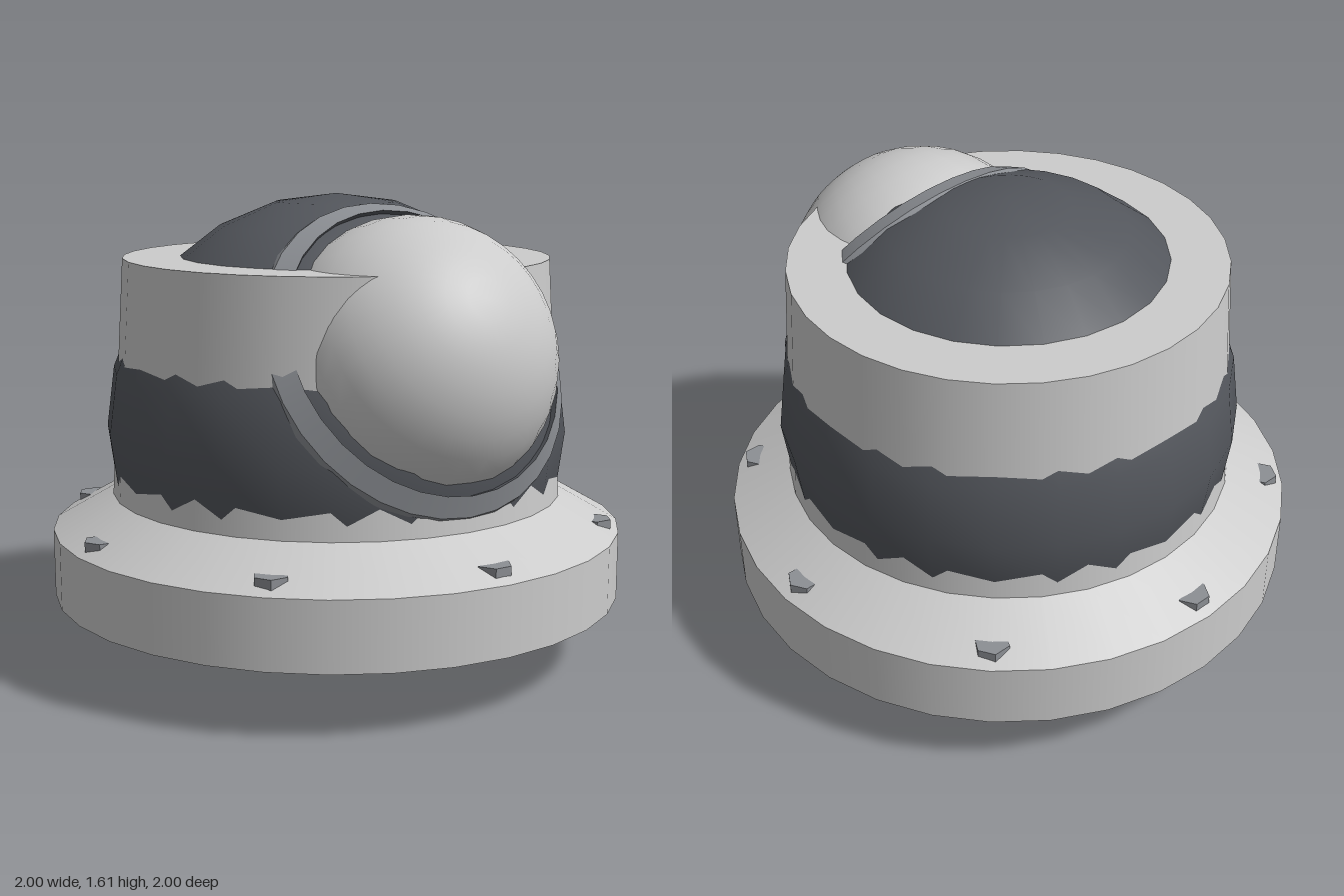
import * as THREE from 'three';

const grey = new THREE.MeshStandardMaterial({ color: 0xcccccc, side: THREE.DoubleSide });
const dark = new THREE.MeshStandardMaterial({ color: 0x53565c });
const mid = new THREE.MeshStandardMaterial({ color: 0x8c8f94, side: THREE.DoubleSide });

const CENTRE_Y = 0.807;
const TILT = THREE.MathUtils.degToRad(59); // lens axis, from straight up towards the front

function add(parent, name, geometry, material) {
  const mesh = new THREE.Mesh(geometry, material);
  mesh.name = name;
  parent.add(mesh);
  return mesh;
}

// One revolved band per profile segment keeps the edges between bands sharp
function revolve(parent, name, profile, material, sides) {
  const group = new THREE.Group();
  group.name = name;
  for (let i = 0; i < profile.length - 1; i++) {
    const points = [profile[i], profile[i + 1]].map(([r, y]) => new THREE.Vector2(r, y));
    add(group, name + 'Band', new THREE.LatheGeometry(points, sides), material);
  }
  parent.add(group);
  return group;
}

export function createModel() {
  const model = new THREE.Group();
  model.name = 'cameraTurret';

  // Thin housing, open underneath: rim, sloped flange, tapered wall, flat top
  revolve(model, 'housing', [
    [1, 0.225], [1, 0.46], [0.79, 0.58], [0.74, 1.4], [0.4, 1.4],
  ], grey, 32);

  // Dark ball that bulges through the wall, top and bottom
  const ball = add(model, 'ball', new THREE.SphereGeometry(CENTRE_Y, 24, 12), dark);
  ball.position.y = CENTRE_Y;

  // Lens and its bezel, tilted up towards the front
  const lensMount = new THREE.Group();
  lensMount.name = 'lensMount';
  lensMount.position.y = CENTRE_Y;
  lensMount.rotation.x = TILT;
  model.add(lensMount);

  const lens = add(lensMount, 'lens', new THREE.SphereGeometry(0.48, 32, 20), grey);
  lens.position.y = 0.54;
  revolve(lensMount, 'bezel', [[0.565, 0.56], [0.56, 0.587], [0.505, 0.641]], mid, 32);
  revolve(lensMount, 'bezelInnerWall', [[0.505, 0.641], [0.495, 0.61]], dark, 32);

  // Eight hexagonal bolts set into the flange
  const boltGeometry = new THREE.CylinderGeometry(0.06, 0.06, 0.08, 6).rotateY(Math.PI / 6);
  boltGeometry.computeVertexNormals();
  const boltMaterial = new THREE.MeshStandardMaterial({ color: 0x8c8f94, flatShading: true });
  for (let i = 0; i < 8; i++) {
    const a = (i * Math.PI) / 4;
    const bolt = add(model, 'flangeBolt', boltGeometry, boltMaterial);
    bolt.position.set(0.915 * Math.sin(a), 0.468, 0.915 * Math.cos(a));
  }

  return model;
}
